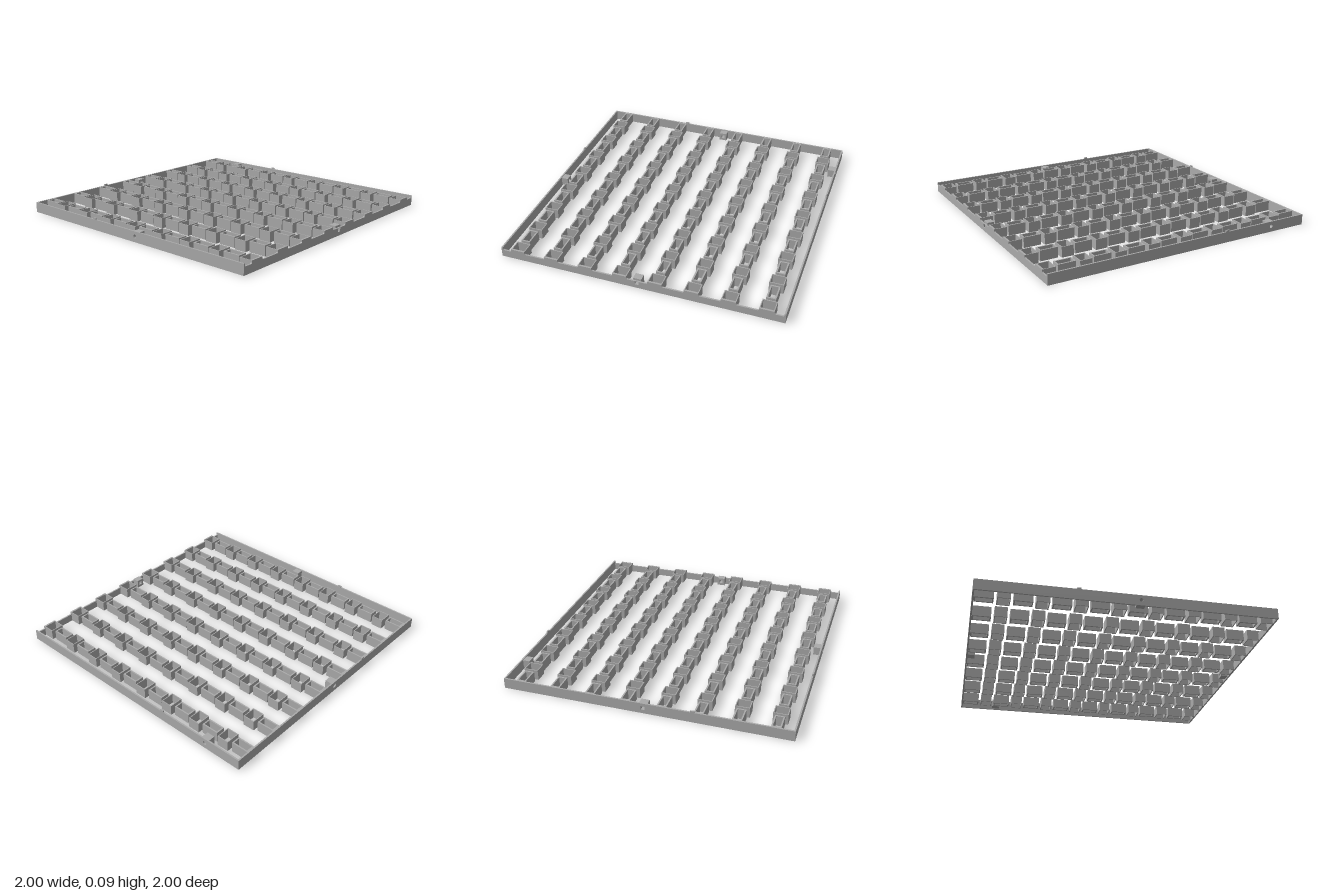
import * as THREE from 'three';

const H = 0.075; // wall height
const WALL = 0.011;

export function createModel() {
  const grey = new THREE.MeshStandardMaterial({ color: 0xaaaaaa });
  grey.name = 'plain grey';
  const group = new THREE.Group();

  const add = (name, geometry, x = 0, y = 0, z = 0, turn = 0) => {
    const mesh = new THREE.Mesh(geometry, grey);
    mesh.name = name;
    mesh.position.set(x, y, z);
    mesh.rotation.y = turn;
    group.add(mesh);
    return mesh;
  };
  const extrude = (shape, depth) =>
    new THREE.ExtrudeGeometry(shape, { depth, bevelEnabled: false, curveSegments: 8 });
  const rect = (target, x0, y0, x1, y1) => {
    target.moveTo(x0, y0);
    target.lineTo(x1, y0);
    target.lineTo(x1, y1);
    target.lineTo(x0, y1);
    target.closePath();
    return target;
  };
  const squareHole = (x) => rect(new THREE.Path(), x - 0.013, 0.027, x + 0.013, 0.053);
  const roundHole = (x) => new THREE.Path().absarc(x, 0.04, 0.013, 0, Math.PI * 2, true);

  // Front wall, with shallow slots between the cell columns
  const front = new THREE.Shape();
  front.moveTo(-1, 0);
  front.lineTo(1, 0);
  front.lineTo(1, H);
  front.lineTo(0.989, H);
  for (let i = 4; i >= -4; i--) {
    const right = i === 4 ? 0.989 : i * 0.25 + 0.075;
    const left = i === -4 ? -0.989 : i * 0.25 - 0.075;
    front.lineTo(right, 0.06);
    front.lineTo(right - 0.006, 0.055);
    front.lineTo(left + 0.006, 0.055);
    front.lineTo(left, 0.06);
    front.lineTo(left, H);
    if (i > -4) front.lineTo((i - 1) * 0.25 + 0.075, H);
  }
  front.lineTo(-1, H);
  front.closePath();
  front.holes.push(squareHole(0));
  add('frontWall', extrude(front, WALL), 0, 0, 1 - WALL);

  // Back wall
  const back = rect(new THREE.Shape(), -1, 0, 1, H);
  back.holes.push(squareHole(0));
  add('backWall', extrude(back, WALL), 0, 0, -1);

  // Side walls: shape x runs along -z after the quarter turn
  const sideWall = (name, x, holeZ) => {
    const s = rect(new THREE.Shape(), -1 + WALL, 0, 1 - WALL, H);
    s.holes.push(roundHole(-holeZ));
    add(name, extrude(s, WALL), x, 0, 0, Math.PI / 2);
  };
  sideWall('leftWall', 1 - WALL, -0.715);
  sideWall('rightWall', -1, 0.07);

  // Bored blocks behind the holes
  const block = (hole) => {
    const s = rect(new THREE.Shape(), -0.029, 0.01, 0.029, 0.07);
    s.holes.push(hole);
    return extrude(s, 0.05);
  };
  add('frontBlock', block(squareHole(0)), 0, 0, 0.939);
  add('backBlock', block(squareHole(0)), 0, 0, -0.989);
  add('leftBlock', block(roundHole(0)), 0.939, 0, -0.715, Math.PI / 2);
  add('rightBlock', block(roundHole(0)), -0.989, 0, 0.07, Math.PI / 2);

  // Small pegs on the rim
  const peg = (x, z, w, d) =>
    add('rimPeg', new THREE.BoxGeometry(w, 0.012, d), x, H + 0.005, z);
  peg(-0.335, -0.995, 0.027, 0.009);
  peg(-0.995, -0.335, 0.009, 0.027);
  peg(0.995, -0.335, 0.009, 0.027);

  // Open rectangular cells, alternating wide and narrow in eight columns
  const cell = (w, d, t) => {
    const s = rect(new THREE.Shape(), -w / 2, -d / 2, w / 2, d / 2);
    s.holes.push(rect(new THREE.Path(), -w / 2 + t, -d / 2 + t, w / 2 - t, d / 2 - t));
    return extrude(s, H - 0.001).rotateX(-Math.PI / 2);
  };
  const wide = cell(0.1, 0.086, 0.006);
  const narrow = cell(0.066, 0.125, 0.01);
  for (let col = 0; col < 8; col++) {
    for (let row = 0; row < 8; row++) {
      const x = -0.875 + col * 0.25;
      add('narrowCell', narrow, x, 0, -0.926 + row * 0.25);
      add('wideCell', wide, x, 0, -0.801 + row * 0.25);
    }
  }
  return group;
}
